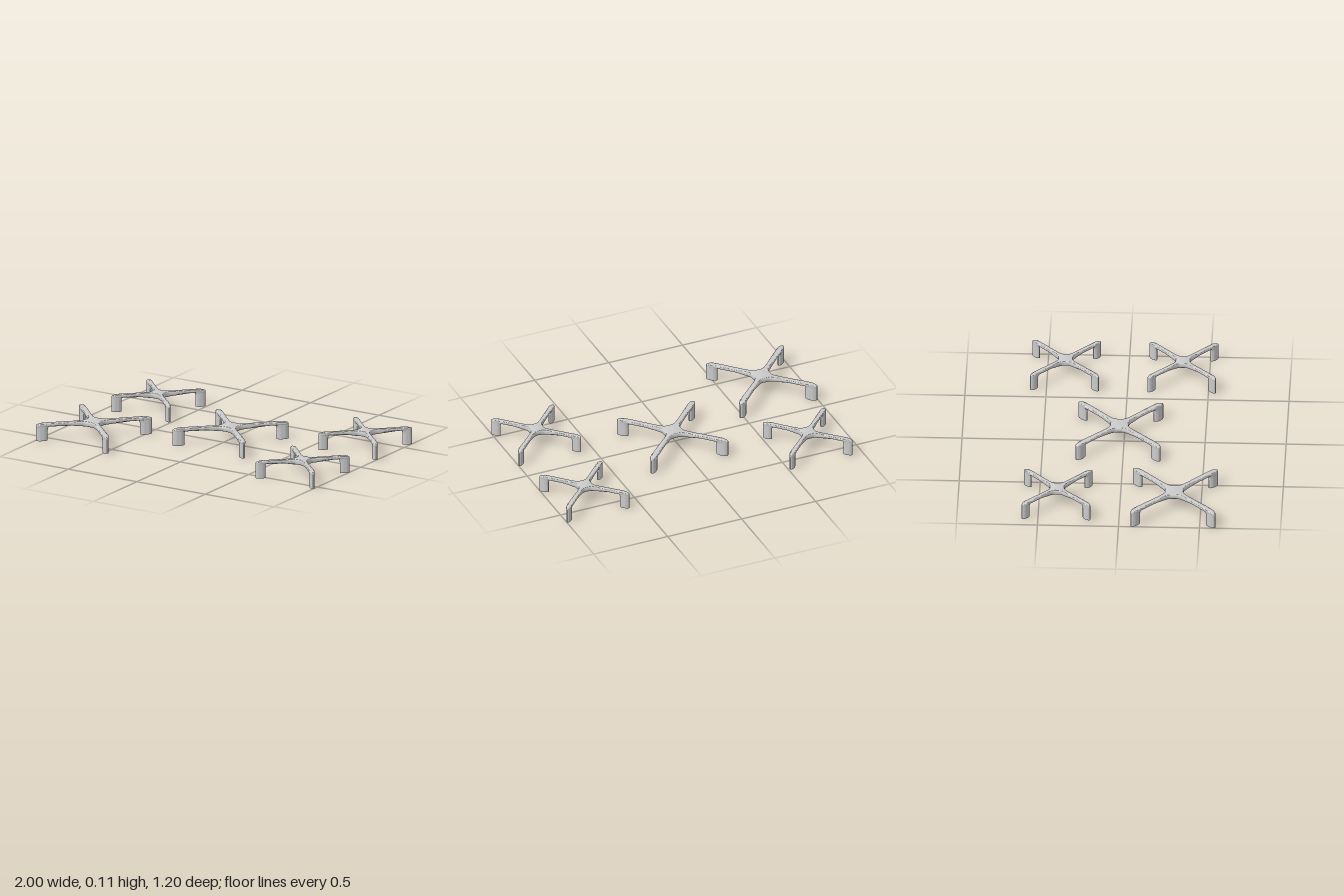
import * as THREE from 'three';
import { mergeVertices, toCreasedNormals } from 'three/addons/utils/BufferGeometryUtils.js';

const HEIGHT = 0.11;
const LEG_R = 0.332;   // distance of a leg's middle from the hub
const LEG_A = 0.038;   // leg half length, along the arm
const LEG_B = 0.019;   // leg half width
const { smoothstep } = THREE.MathUtils;

// Outline of the four-armed cross, as (distance, half width) mirrored on each arm
function crossShape() {
  const edge = new THREE.SplineCurve([
    [0.046, 0.036], [0.055, 0.0275], [0.067, 0.021], [0.088, 0.0175],
    [0.14, 0.0165], [0.21, 0.0175], [0.28, 0.019], [LEG_R, LEG_B],
  ].map(([d, w]) => new THREE.Vector2(d, w))).getPoints(24);

  const arm = edge.map((p) => [p.x, -p.y]);
  for (let i = 1; i < 14; i++) {
    const a = -Math.PI / 2 + (i / 14) * Math.PI;
    arm.push([LEG_R + LEG_A * Math.cos(a), LEG_B * Math.sin(a)]);
  }
  arm.push(...edge.slice().reverse().map((p) => [p.x, p.y]));

  const outline = [];
  for (let k = 0; k < 4; k++) {
    const phi = Math.PI / 4 + k * Math.PI / 2;
    const c = Math.cos(phi), s = Math.sin(phi);
    for (const [d, w] of arm) outline.push(new THREE.Vector2(d * c - w * s, d * s + w * c));
  }
  return new THREE.Shape(outline);
}

// Flat-topped cross with rounded edges, thicker under the hub
function crossGeometry() {
  const bevel = 0.3, depth = 1 - 2 * bevel;
  const geo = new THREE.ExtrudeGeometry(crossShape(), {
    depth, steps: 1, bevelThickness: bevel, bevelSize: 0.006,
    bevelOffset: -0.006, bevelSegments: 4,
  });
  geo.rotateX(-Math.PI / 2).translate(0, bevel, 0);
  const p = geo.attributes.position;
  for (let i = 0; i < p.count; i++) {
    const r = Math.hypot(p.getX(i), p.getZ(i));
    const thick = 0.033 - 0.014 * smoothstep(r, 0.05, 0.21);
    const top = HEIGHT - 0.006 * smoothstep(r, 0.32, 0.37);
    p.setY(i, top - (1 - p.getY(i)) * thick);
  }
  return toCreasedNormals(geo, 0.7);
}

// Oval leg, flaring inward where it meets the arm
function legGeometry() {
  const h = 0.096;
  let geo = new THREE.CylinderGeometry(1, 1, h, 28, 14);
  geo.translate(0, h / 2, 0);
  const p = geo.attributes.position;
  for (let i = 0; i < p.count; i++) {
    const x = p.getX(i), y = p.getY(i);
    const flare = 0.016 * Math.max(0, (y - 0.068) / (h - 0.068)) ** 2;
    p.setX(i, x * LEG_A - flare * Math.max(0, -x));
    p.setZ(i, p.getZ(i) * (LEG_B - 0.0006));
  }
  geo.deleteAttribute('uv');
  geo.deleteAttribute('normal');
  geo = mergeVertices(geo, 1e-5);
  return toCreasedNormals(geo, 0.7);
}

export function createModel() {
  const model = new THREE.Group();
  model.name = 'crossStands';
  const material = new THREE.MeshStandardMaterial({ color: 0xcccccc });
  const crossGeo = crossGeometry();
  const legGeo = legGeometry();

  function stand(name, x, z, size) {
    const group = new THREE.Group();
    group.name = name;
    const cross = new THREE.Mesh(crossGeo, material);
    cross.name = 'crossTop';
    group.add(cross);
    for (let k = 0; k < 4; k++) {
      const phi = Math.PI / 4 + k * Math.PI / 2;
      const leg = new THREE.Mesh(legGeo, material);
      leg.name = 'leg';
      leg.position.set(LEG_R * Math.cos(phi), 0, -LEG_R * Math.sin(phi));
      leg.rotation.y = phi;
      group.add(leg);
    }
    group.position.set(x, 0, z);
    group.scale.set(size, 1, size);
    model.add(group);
  }

  // Two large stands and three small ones
  stand('frontRightLargeStand', -0.736, 0.335, 0.99);
  stand('middleLargeStand', 0.03, -0.03, 0.99);
  stand('backRightSmallStand', -0.722, -0.388, 0.8);
  stand('backLeftSmallStand', 0.788, -0.388, 0.8);
  stand('frontLeftSmallStand', 0.788, 0.335, 0.8);
  return model;
}
